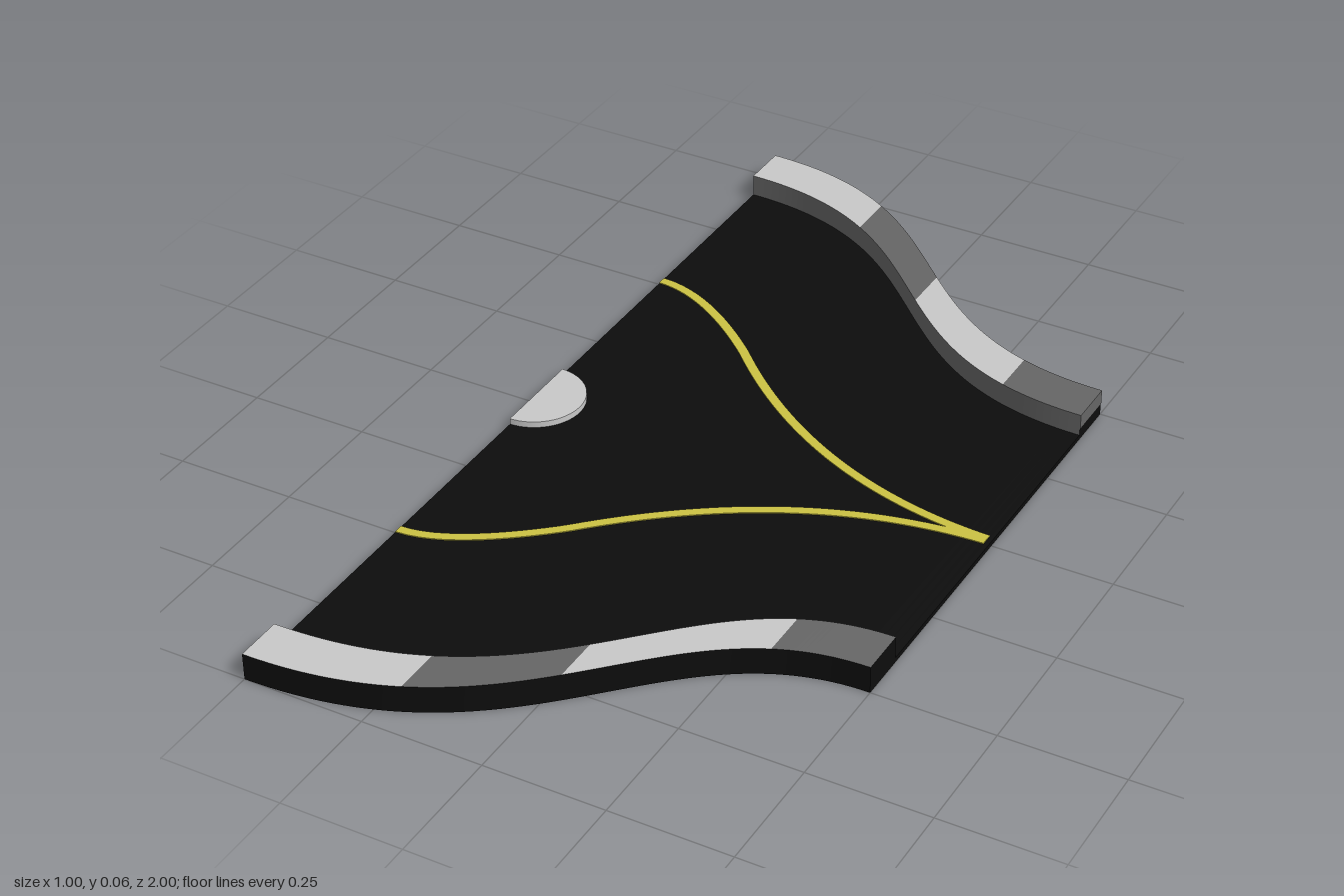
import * as THREE from 'three';

const mat = (name, hex) => {
  const m = new THREE.MeshStandardMaterial({ color: hex });
  m.name = name;
  return m;
};

// Box whose vertices are placed by a rule of u, v, w in 0..1 (x, y, z of the box)
function bentBox(name, segments, material, place) {
  const geo = new THREE.BoxGeometry(1, 1, 1, segments, 1, 1);
  const pos = geo.attributes.position;
  for (let i = 0; i < pos.count; i++) {
    pos.setXYZ(i, ...place(pos.getX(i) + 0.5, pos.getY(i) + 0.5, pos.getZ(i) + 0.5));
  }
  geo.computeVertexNormals();
  const mesh = new THREE.Mesh(geo, material);
  mesh.name = name;
  return mesh;
}

// Half width of the road piece at x: an S-curve from 1 to 0.5, with handles meeting at x = mid
function edgeAt(x, mid) {
  let lo = 0, hi = 1;
  for (let i = 0; i < 40; i++) {
    const t = (lo + hi) / 2, s = 1 - t;
    const bx = -0.5 * s ** 3 + 3 * mid * t * s + 0.5 * t ** 3;
    if (bx < x) lo = t; else hi = t;
  }
  return 1 - 0.5 * (3 * lo * lo - 2 * lo ** 3);
}

export function createModel() {
  const group = new THREE.Group();
  group.name = 'roadPiece';
  const black = mat('asphalt black', 0x0d0d0d);
  const light = mat('light grey', 0xc8c8c8);
  const dark = mat('dark grey', 0x666666);
  const yellow = mat('line yellow', 0xcbc243);

  const H = 0.057, FLOOR = 0.01, WALL = 0.1;
  const back = (x) => edgeAt(x, 0);
  const front = (x) => edgeAt(x, 0.08);

  // Road surface
  group.add(bentBox('roadSurface', 64, black, (u, v, w) => {
    const x = u - 0.5;
    const z0 = -back(x) + WALL, z1 = front(x) - WALL;
    return [x, v * FLOOR, z0 + (z1 - z0) * w];
  }));

  // Curved kerbs with alternating light and dark tops
  const cuts = [-0.5, -0.2, 0.03, 0.32, 0.5];
  for (const side of [1, -1]) {
    const kerb = new THREE.Group();
    kerb.name = side > 0 ? 'frontKerb' : 'backKerb';
    for (let i = 0; i < 4; i++) {
      const top = i % 2 ? dark : light;
      // faces: +x, -x, top, bottom, +z, -z
      const mats = side > 0
        ? [black, black, top, black, black, dark]
        : [black, black, top, black, dark, black];
      kerb.add(bentBox('kerbSection', 20, mats, (u, v, w) => {
        const x = cuts[i] + (cuts[i + 1] - cuts[i]) * u;
        const z = side > 0 ? front(x) - WALL : -back(x);
        return [x, v * H, z + w * WALL];
      }));
    }
    group.add(kerb);
  }

  // Grey plate on the end of the back kerb
  const plate = new THREE.Mesh(new THREE.BoxGeometry(0.002, H - 0.025, WALL), dark);
  plate.name = 'kerbEndPlate';
  plate.position.set(0.5, (H + 0.025) / 2, -0.45);
  group.add(plate);

  // Painted lane lines that merge at the narrow end
  const V = (x, z) => new THREE.Vector2(x, z);
  const path = new THREE.CurvePath();
  path.add(new THREE.QuadraticBezierCurve(V(-0.5, 0.5), V(-0.39, 0.5), V(-0.22, 0.345)));
  path.add(new THREE.QuadraticBezierCurve(V(-0.22, 0.345), V(0.1, 0.015), V(0.49, 0.004)));
  for (const side of [1, -1]) {
    group.add(bentBox('laneLine', 48, yellow, (u, v, w) => {
      const p = path.getPointAt(u), t = path.getTangentAt(u);
      const off = (w - 0.5) * 0.02;
      return [
        Math.max(-0.5, p.x - t.y * off * side),
        FLOOR - 0.001 + v * 0.003,
        side * p.y + t.x * off,
      ];
    }));
  }

  // Half-round island at the wide end, with its cut face
  const island = new THREE.Group();
  island.name = 'island';
  const disc = new THREE.Mesh(new THREE.CylinderGeometry(0.1, 0.1, 0.013, 32, 1, false, 0, Math.PI), light);
  disc.name = 'islandDisc';
  disc.position.set(-0.5, 0.0165, 0);
  const cut = new THREE.Mesh(new THREE.PlaneGeometry(0.2, 0.013), black);
  cut.name = 'islandCutFace';
  cut.rotation.y = -Math.PI / 2;
  cut.position.copy(disc.position);
  island.add(disc, cut);
  group.add(island);

  return group;
}
